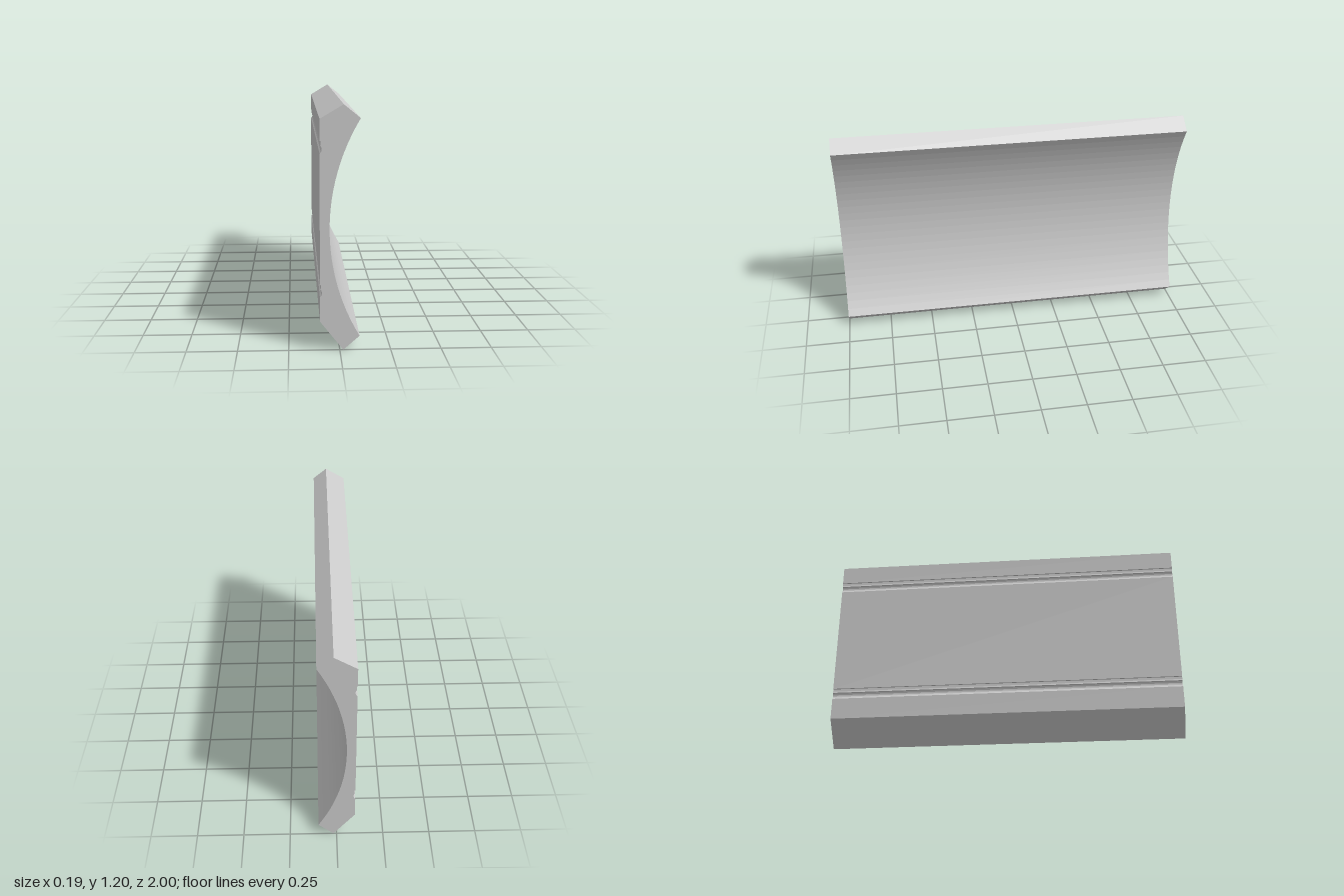
import * as THREE from 'three';

export function createModel() {
  const group = new THREE.Group();
  const material = new THREE.MeshStandardMaterial({ color: 0xcccccc });
  const length = 2, back = -0.097, edge = 0.097;

  // Concave face: circular arc through both edges and the thinnest point
  const top = 1.135, bottom = 0.07, waist = -0.05;
  const half = (top - bottom) / 2, sagitta = edge - waist;
  const radius = (half * half + sagitta * sagitta) / (2 * sagitta);
  const angle = Math.asin(half / radius);

  const profile = new THREE.Shape();
  profile.moveTo(0.017, 1.2);
  profile.lineTo(edge, top);
  profile.absarc(waist + radius, (top + bottom) / 2, radius, Math.PI - angle, Math.PI + angle, false);
  profile.lineTo(0.017, 0);
  profile.lineTo(back, 0.145);

  // Two small stepped grooves in the flat back
  const groove = [[0, 0], [0.006, 0.007], [0.01, 0.016], [0.01, 0.025],
    [0.007, 0.034], [0.003, 0.038], [0.005, 0.046], [0.005, 0.06], [0, 0.062]];
  for (const y of [0.267, 0.967]) {
    for (const [dx, dy] of groove) profile.lineTo(back + dx, y + dy);
  }
  profile.lineTo(back, 1.132);
  profile.closePath();

  // Straight run of moulding along z
  const geometry = new THREE.ExtrudeGeometry(profile, { depth: length, bevelEnabled: false, curveSegments: 12 });
  geometry.translate(0, 0, -length / 2);
  const moulding = new THREE.Mesh(geometry, material);
  moulding.name = 'coveMoulding';
  group.add(moulding);
  return group;
}
